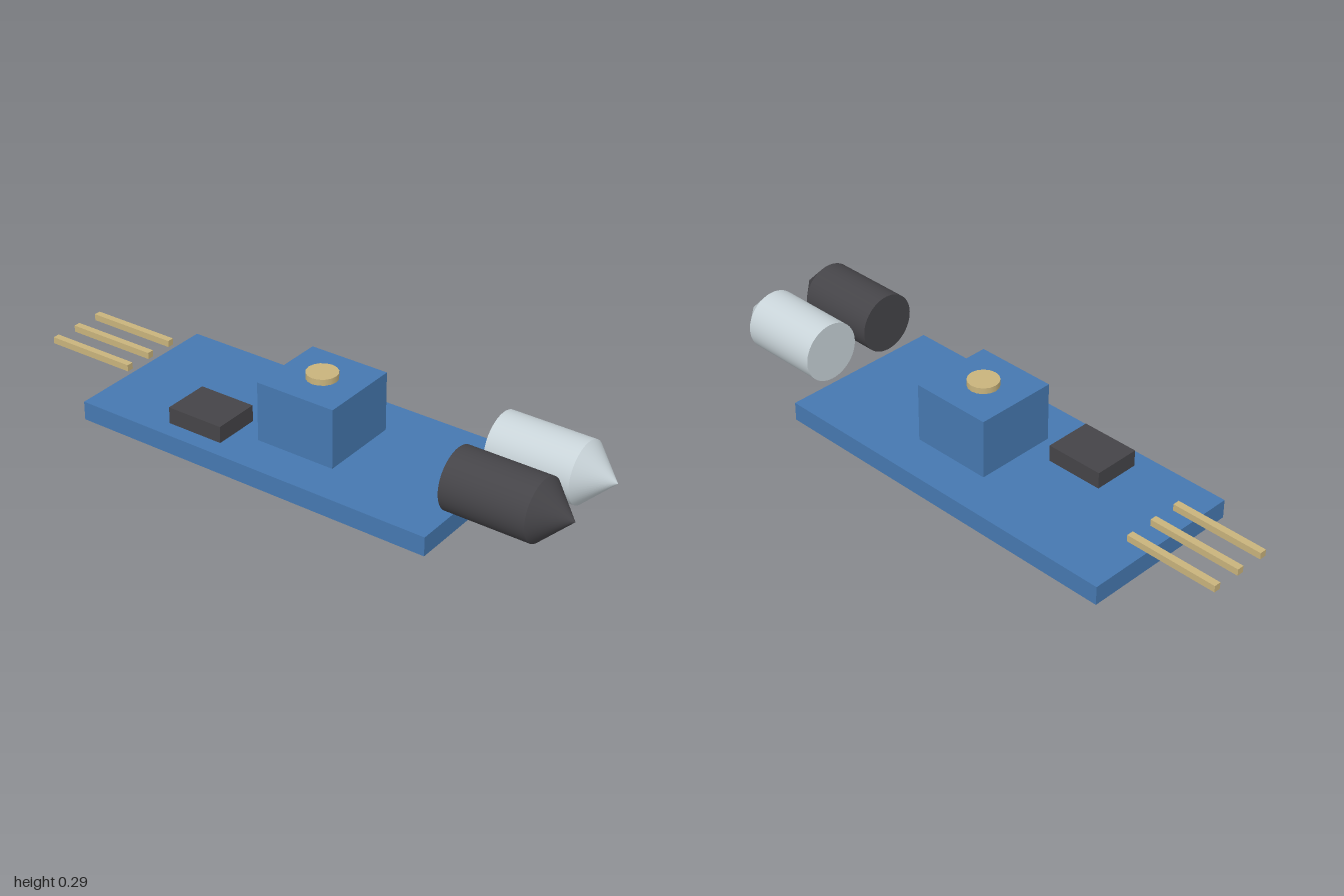
import * as THREE from 'three';

const mat = (name, color) => {
  const m = new THREE.MeshStandardMaterial({ color });
  m.name = name;
  return m;
};

export function createModel() {
  const group = new THREE.Group();
  const blue = mat('blue', 0x4678b0);
  const dark = mat('darkGrey', 0x454448);
  const clear = mat('paleGrey', 0xc8d3d8);
  const brass = mat('brass', 0xc8b37c);

  const add = (name, geometry, material, x, y, z, parent = group) => {
    const mesh = new THREE.Mesh(geometry, material);
    mesh.name = name;
    mesh.position.set(x, y, z);
    parent.add(mesh);
    return mesh;
  };

  // Box given by its minimum and maximum corners
  const box = (name, material, a, b) => add(
    name,
    new THREE.BoxGeometry(b[0] - a[0], b[1] - a[1], b[2] - a[2]),
    material,
    (a[0] + b[0]) / 2, (a[1] + b[1]) / 2, (a[2] + b[2]) / 2
  );

  // Circuit board, chip and adjuster block
  box('board', blue, [-0.713, 0, -0.288], [0.605, 0.066, 0.288]);
  box('chip', dark, [-0.403, 0.066, 0.062], [-0.198, 0.124, 0.228]);
  box('adjusterBlock', blue, [-0.114, 0.066, -0.144], [0.172, 0.273, 0.144]);

  // Adjuster screw
  add('adjusterScrew', new THREE.CylinderGeometry(0.053, 0.053, 0.021, 16), brass, 0.029, 0.2835, 0);

  // Three connector pins
  for (const z of [-0.103, 0, 0.103]) {
    box('pin', brass, [-1, 0.113, z - 0.012], [-0.673, 0.136, z + 0.012]);
  }

  // Emitter and receiver bulbs: cylinder with a pointed tip along +x
  const bulb = (name, material, z) => {
    const g = new THREE.Group();
    g.name = name;
    g.position.set(0.605, 0.187, z);
    g.rotation.z = -Math.PI / 2;
    add('bulbBody', new THREE.CylinderGeometry(0.103, 0.103, 0.289, 48), material, 0, 0.1445, 0, g);
    add('bulbTip', new THREE.ConeGeometry(0.103, 0.106, 48, 1, true), material, 0, 0.342, 0, g);
    group.add(g);
  };
  bulb('receiverBulb', dark, 0.124);
  bulb('emitterBulb', clear, -0.124);

  return group;
}
